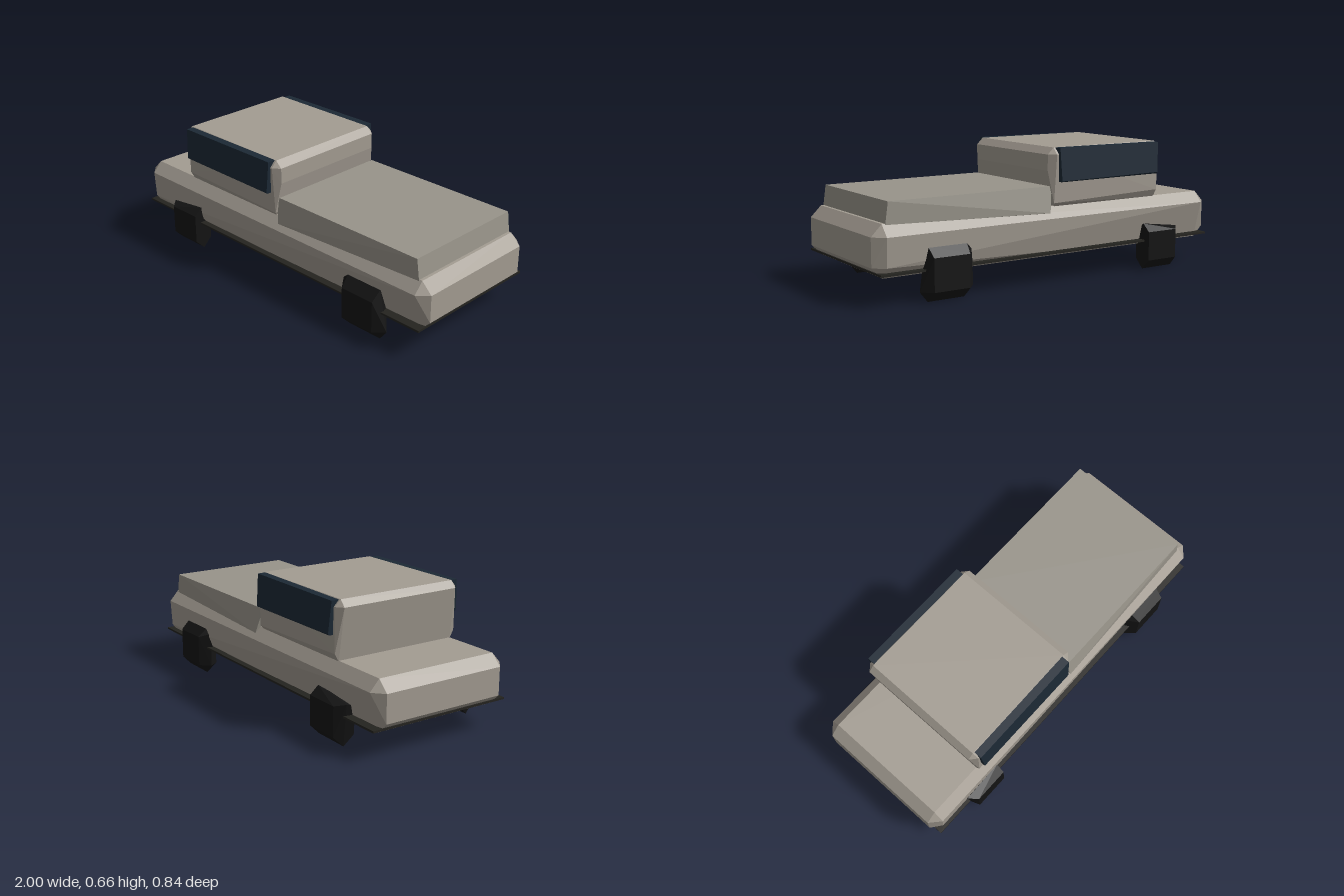
import * as THREE from 'three';
import { ConvexGeometry } from 'three/addons/geometries/ConvexGeometry.js';

const paint = (color) => new THREE.MeshStandardMaterial({ color, flatShading: true });
const BODY = paint(0xa39c92);
const BED = paint(0x98948a);
const GLASS = paint(0x1c2935);
const RUBBER = paint(0x141414);
const SILL = paint(0x24231f);

// Faceted solid spanned by corner points
function solid(name, points, material) {
  const mesh = new THREE.Mesh(
    new ConvexGeometry(points.map((p) => new THREE.Vector3(...p))), material);
  mesh.name = name;
  return mesh;
}

// Repeats each point on both sides of the centre line
const bothSides = (points) => points.flatMap(([x, y, z]) => [[x, y, z], [x, y, -z]]);

export function createModel() {
  const model = new THREE.Group();
  model.name = 'pickupTruck';

  // Lower body: bevelled slab, its flanks leaning in toward the bottom
  const hull = [];
  for (const s of [-1, 1]) {
    hull.push([s * 0.945, 0.375, 0.33], [s, 0.32, 0.33], [s * 0.945, 0.32, 0.38],
      [s, 0.18, 0.33], [s * 0.945, 0.127, 0.33]);
  }
  model.add(solid('lowerBody', [...bothSides(hull),
    [-0.945, 0.18, 0.372], [0.945, 0.18, -0.372]], BODY));

  // Thin sill plate showing along the lower edge
  const sill = new THREE.Mesh(new THREE.BoxGeometry(1.96, 0.01, 0.77), SILL);
  sill.name = 'sillPlate';
  sill.position.y = 0.15;
  model.add(sill);

  // Cab with bevelled roof edge and tapered base
  model.add(solid('cab', bothSides([
    [-0.65, 0.663, 0.325], [0.0, 0.663, 0.325],
    [-0.68, 0.63, 0.325], [0.035, 0.63, 0.325],
    [-0.645, 0.63, 0.355], [0.0, 0.63, 0.355],
    [0.035, 0.55, 0.325], [-0.645, 0.41, 0.353], [0.01, 0.39, 0.345],
    [-0.645, 0.37, 0.33], [0.0, 0.37, 0.33],
  ]), BODY));

  // Covered cargo bed
  model.add(solid('cargoBed', bothSides([
    [0.03, 0.475, 0.335], [0.915, 0.475, 0.335],
    [0.02, 0.44, 0.335], [0.04, 0.345, 0.358],
    [0.93, 0.37, 0.335], [0.93, 0.345, 0.32],
  ]), BED));

  for (const side of [1, -1]) {
    const label = side > 0 ? 'front' : 'back';
    const place = (points) => points.map(([x, y, z]) => [x, y, z * side]);

    // Side window
    model.add(solid(label + 'SideWindow', place([
      [-0.64, 0.66, 0.32], [-0.01, 0.663, 0.32], [-0.64, 0.66, 0.368], [-0.01, 0.663, 0.368],
      [-0.63, 0.505, 0.38], [-0.015, 0.5, 0.38],
      [-0.63, 0.497, 0.32], [-0.015, 0.495, 0.32],
      [-0.63, 0.497, 0.372], [-0.015, 0.495, 0.372],
    ]), GLASS));

    // Wheel below the cab: a wedge, cut square toward the middle
    model.add(solid(label + 'CabWheel', place([
      [-0.545, 0.24, 0.375], [-0.545, 0.2, 0.42], [-0.545, 0.2, 0.32],
      [-0.77, 0.21, 0.375], [-0.73, 0.2, 0.42], [-0.775, 0.2, 0.33],
      [-0.545, 0, 0.37], [-0.74, 0, 0.37],
      [-0.545, 0.05, 0.42], [-0.73, 0.05, 0.42],
      [-0.545, 0.05, 0.32], [-0.75, 0.05, 0.32],
    ]), RUBBER));

    // Wheel below the bed: blunt, bevelled block
    model.add(solid(label + 'BedWheel', place([
      [0.53, 0.258, 0.37], [0.735, 0.258, 0.37],
      [0.495, 0.23, 0.36], [0.495, 0.05, 0.37], [0.78, 0.05, 0.37],
      [0.54, 0.21, 0.42], [0.73, 0.21, 0.42], [0.54, 0.05, 0.42], [0.73, 0.05, 0.42],
      [0.53, 0.2, 0.32], [0.73, 0.2, 0.32], [0.53, 0.05, 0.32], [0.73, 0.05, 0.32],
      [0.545, 0, 0.37], [0.74, 0, 0.37],
    ]), RUBBER));
  }
  return model;
}
